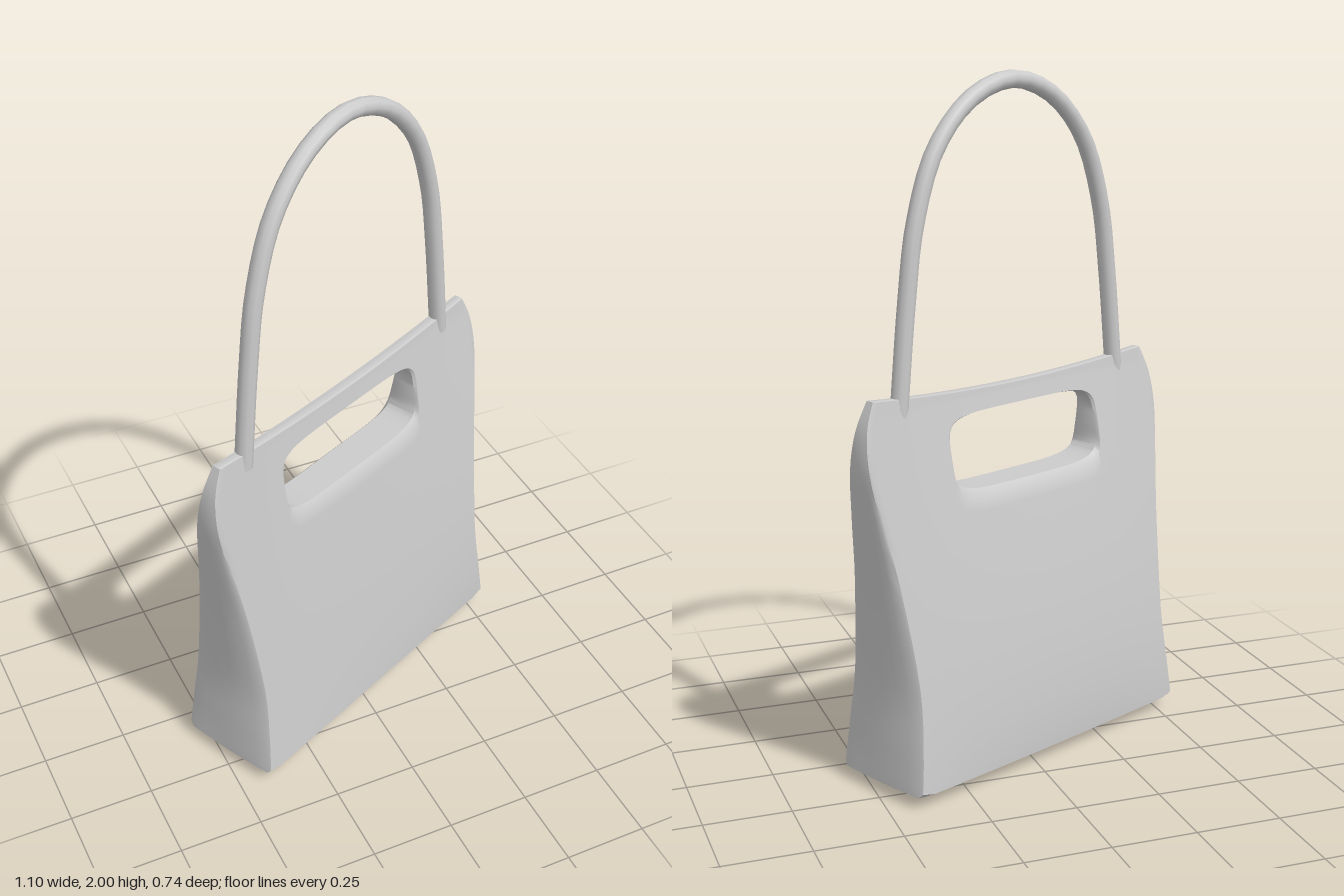
import * as THREE from 'three';
import { toCreasedNormals } from 'three/addons/utils/BufferGeometryUtils.js';

const material = new THREE.MeshStandardMaterial({ color: 0xcccccc, side: THREE.DoubleSide });
const vec = ([x, y]) => new THREE.Vector2(x, y);
const mirrored = (points) => points.map((p) => new THREE.Vector2(-p.x, p.y)).reverse();
const { clamp, lerp, mapLinear } = THREE.MathUtils;

// 0 at the base and the top, 1 a third of the way up
const bell = (y) => Math.sin(Math.PI * clamp(y / 1.1, 0, 1) ** 0.65);

// Wedge depth of the body; the panels belly out, each most towards one end
function panelDepth(x, y, zn) {
  const half = mapLinear(y, 0, 1.14, 0.165, 0.014);
  const s = clamp(x / 0.55, -1, 1);
  const front = 0.012 + 0.014 * s;
  const back = 0.036 - 0.02 * s * s - 0.008 * s;
  return zn * (half + bell(y) * (zn > 0 ? front : back)) + 0.011 * y;
}

// Face outline, counterclockwise: narrow waist, wide shoulders, sagging top
function outlinePoints() {
  const side = new THREE.SplineCurve([
    [0.533, 0.035], [0.518, 0.15], [0.506, 0.33], [0.53, 0.6],
    [0.562, 0.8], [0.584, 0.95], [0.577, 1.06], [0.545, 1.14],
  ].map(vec)).getPoints(28);
  const bottom = [], top = [];
  for (let i = 0; i <= 24; i++) bottom.push(new THREE.Vector2(lerp(-0.49, 0.49, i / 24), 0));
  for (let i = 1; i < 24; i++) {
    const t = 1 - i / 12;
    top.push(new THREE.Vector2(0.545 * t, 1.115 + 0.025 * t * t));
  }
  return [...bottom, ...side, ...top, ...mirrored(side)];
}

// Point on the rim of the hand slot that faces a point of the outline
function slotPoint(p) {
  const cx = -0.012, cy = 0.946;
  const dy = p.y - cy;
  const a = Math.atan2(dy / (dy > 0 ? 0.18 : 0.95), (p.x - cx) / 0.56);
  const c = Math.cos(a), s = Math.sin(a);
  const k = (Math.abs(c) ** 5 + Math.abs(s) ** 5) ** -0.2;
  return new THREE.Vector2(cx + 0.295 * k * c, cy + 0.109 * k * s);
}

// Closed section around the body wall: [0 slot .. 1 outline, 1 front .. -1 back]
function wallSection() {
  const front = [[0, 0.8], [0.025, 1]];
  for (let i = 1; i < 14; i++) front.push([i / 14, 1]);
  front.push([0.985, 1], [1, 0.92]);
  const edge = [0.65, 0.35, 0, -0.35, -0.65].map((zn) => [1, zn]);
  const back = front.map(([r, zn]) => [r, -zn]).reverse();
  return [...front, ...edge, ...back];
}

function bodyGeometry() {
  const outline = outlinePoints();
  const section = wallSection();
  const n = outline.length, m = section.length;
  const positions = [], indices = [];

  outline.forEach((p, i) => {
    const rim = slotPoint(p);
    section.forEach(([r, zn], j) => {
      const x = lerp(rim.x, p.x, r);
      // Domed underside
      const y = Math.max(lerp(rim.y, p.y, r), 0.037 * zn * zn);
      // End panels swell slightly between their creases
      const swell = r === 1 && Math.abs(x) > 0.495 ? 0.018 * bell(y) * (1 - zn * zn) : 0;
      positions.push(x + Math.sign(x) * swell, y, panelDepth(x, y, zn));

      const i2 = (i + 1) % n, j2 = (j + 1) % m;
      const a = i * m + j, b = i * m + j2, c = i2 * m + j2, d = i2 * m + j;
      indices.push(a, b, d, b, c, d);
    });
  });

  const geometry = new THREE.BufferGeometry();
  geometry.setAttribute('position', new THREE.Float32BufferAttribute(positions, 3));
  geometry.setIndex(indices);
  return toCreasedNormals(geometry, 0.7);
}

function handleGeometry() {
  const half = [[0.44, 1.08], [0.43, 1.18], [0.405, 1.4], [0.372, 1.6], [0.295, 1.795], [0.163, 1.925]];
  const points = [
    ...half.map(([x, y]) => new THREE.Vector3(-x, y, 0.014)),
    new THREE.Vector3(0, 1.974, 0.014),
    ...half.map(([x, y]) => new THREE.Vector3(x, y, 0.014)).reverse(),
  ];
  return new THREE.TubeGeometry(new THREE.CatmullRomCurve3(points), 40, 0.026, 10);
}

export function createModel() {
  const model = new THREE.Group();
  model.name = 'handbag';

  const body = new THREE.Mesh(bodyGeometry(), material);
  body.name = 'bagBody';

  const handle = new THREE.Mesh(handleGeometry(), material);
  handle.name = 'shoulderHandle';

  // The bag stands turned about the vertical axis
  const bag = new THREE.Group();
  bag.name = 'bag';
  bag.rotation.y = 0.443;
  bag.add(body, handle);
  model.add(bag);
  return model;
}
